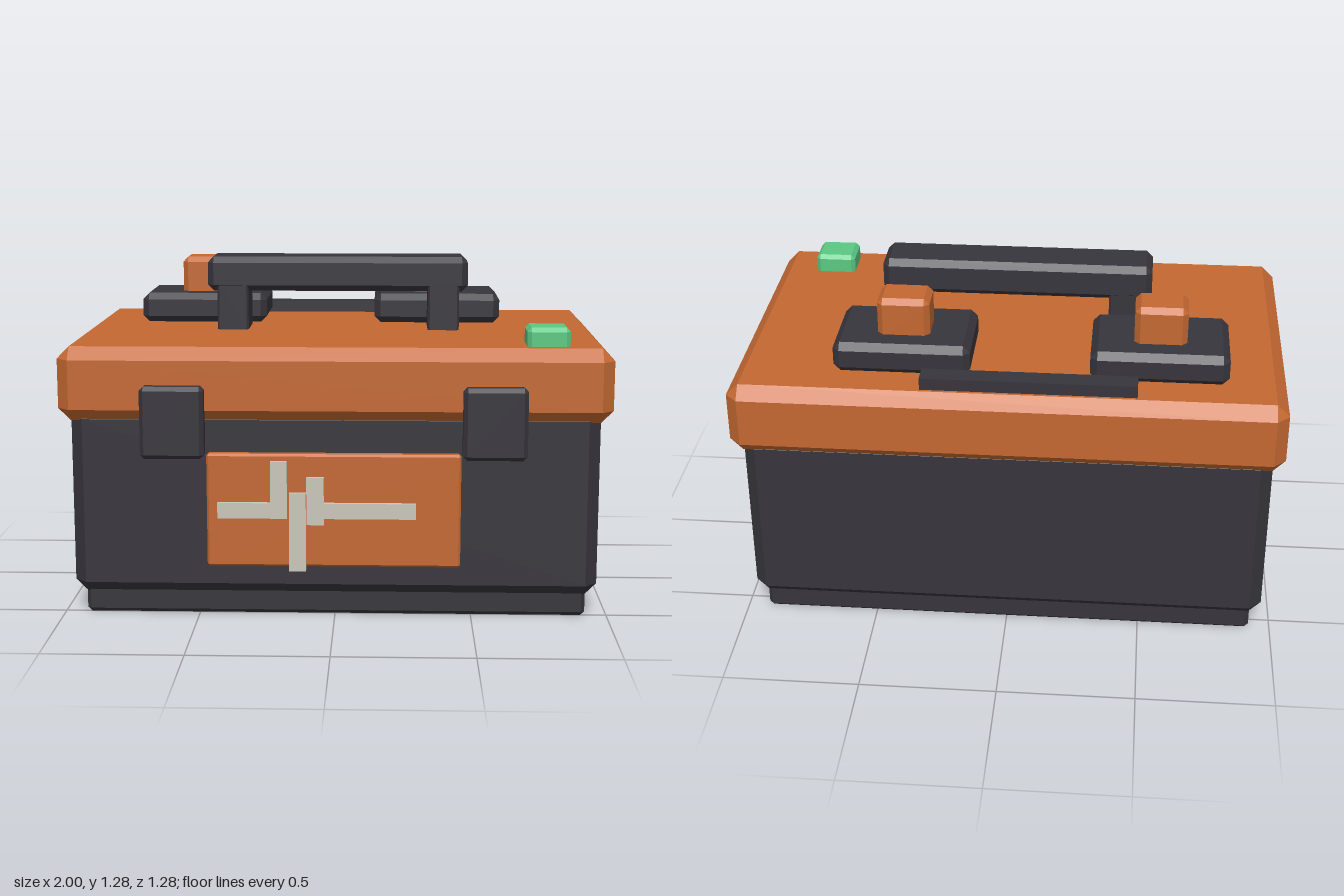
import * as THREE from 'three';
import { ConvexGeometry } from 'three/addons/geometries/ConvexGeometry.js';

const material = (name, color) => {
  const m = new THREE.MeshStandardMaterial({ color });
  m.name = name;
  return m;
};

// Box between two limits per axis, with every edge cut at 45 degrees by bevel b
function bevelledBox(x, y, z, b) {
  const size = [x[1] - x[0], y[1] - y[0], z[1] - z[0]];
  let geometry;
  if (b === 0) {
    geometry = new THREE.BoxGeometry(...size);
  } else {
    const points = [];
    for (const sx of [-1, 1]) for (const sy of [-1, 1]) for (const sz of [-1, 1]) {
      for (let full = 0; full < 3; full++) {
        const p = [sx, sy, sz].map((s, i) => s * (size[i] / 2 - (i === full ? 0 : b)));
        points.push(new THREE.Vector3(...p));
      }
    }
    geometry = new ConvexGeometry(points);
  }
  return geometry.translate((x[0] + x[1]) / 2, (y[0] + y[1]) / 2, (z[0] + z[1]) / 2);
}

export function createModel() {
  const orange = material('orange', 0xc46832);
  const charcoal = material('charcoal', 0x37353c);
  const green = material('green', 0x5cc883);
  const lightGrey = material('lightGrey', 0xcac6ba);

  const model = new THREE.Group();
  model.name = 'toolCase';
  const add = (name, mat, x, y, z, bevel = 0, parent = model) => {
    const mesh = new THREE.Mesh(bevelledBox(x, y, z, bevel), mat);
    mesh.name = name;
    parent.add(mesh);
  };
  const group = (name) => {
    const g = new THREE.Group();
    g.name = name;
    model.add(g);
    return g;
  };

  // Case
  add('base', charcoal, [-0.92, 0.92], [0, 0.12], [-0.56, 0.515], 0.015);
  add('body', charcoal, [-0.96, 0.96], [0.08, 0.78], [-0.6, 0.553], 0.045);
  add('lid', orange, [-1, 1], [0.73, 1], [-0.638, 0.59], 0.045);

  // Latches
  add('rightLatch', charcoal, [-0.695, -0.465], [0.605, 0.867], [0.565, 0.637], 0.015);
  add('leftLatch', charcoal, [0.46, 0.69], [0.605, 0.867], [0.565, 0.637], 0.015);

  // Front panel with its raised strips
  add('frontPanel', orange, [-0.462, 0.457], [0.2, 0.617], [0.53, 0.587], 0.008);
  const strips = group('panelStrips');
  const stripLimits = [
    [-0.422, -0.23, 0.383, 0.44],
    [-0.23, -0.17, 0.383, 0.592],
    [-0.163, -0.102, 0.187, 0.477],
    [-0.1, -0.037, 0.36, 0.535],
    [-0.037, 0.295, 0.383, 0.44],
  ];
  for (const [x0, x1, y0, y1] of stripLimits) {
    add('strip', lightGrey, [x0, x1], [y0, y1], [0.582, 0.604], 0, strips);
  }

  // Carrying handle
  const handle = group('handle');
  const handleZ = [-0.117, 0.071];
  add('handleBar', charcoal, [-0.505, 0.495], [1.148, 1.28], handleZ, 0.023, handle);
  for (const x of [-0.408, 0.402]) {
    add('handleLeg', charcoal, [x - 0.06, x + 0.06], [0.98, 1.2], handleZ.map((z) => z * 0.99), 0.008, handle);
  }

  // Pads with a block on top
  const pads = group('lidPads');
  for (const x of [-0.542, 0.383]) {
    add('pad', charcoal, [x - 0.248, x + 0.248], [1, 1.115], [-0.484, -0.142], 0.025, pads);
    add('padBlock', orange, [x - 0.095, x + 0.095], [1.08, 1.252], [-0.39, -0.237], 0.02, pads);
  }

  // Rear rail and indicator
  add('rearRail', charcoal, [-0.467, 0.305], [0.99, 1.045], [-0.582, -0.506]);
  add('indicator', green, [0.69, 0.845], [0.98, 1.068], [0.362, 0.513], 0.015);

  return model;
}
